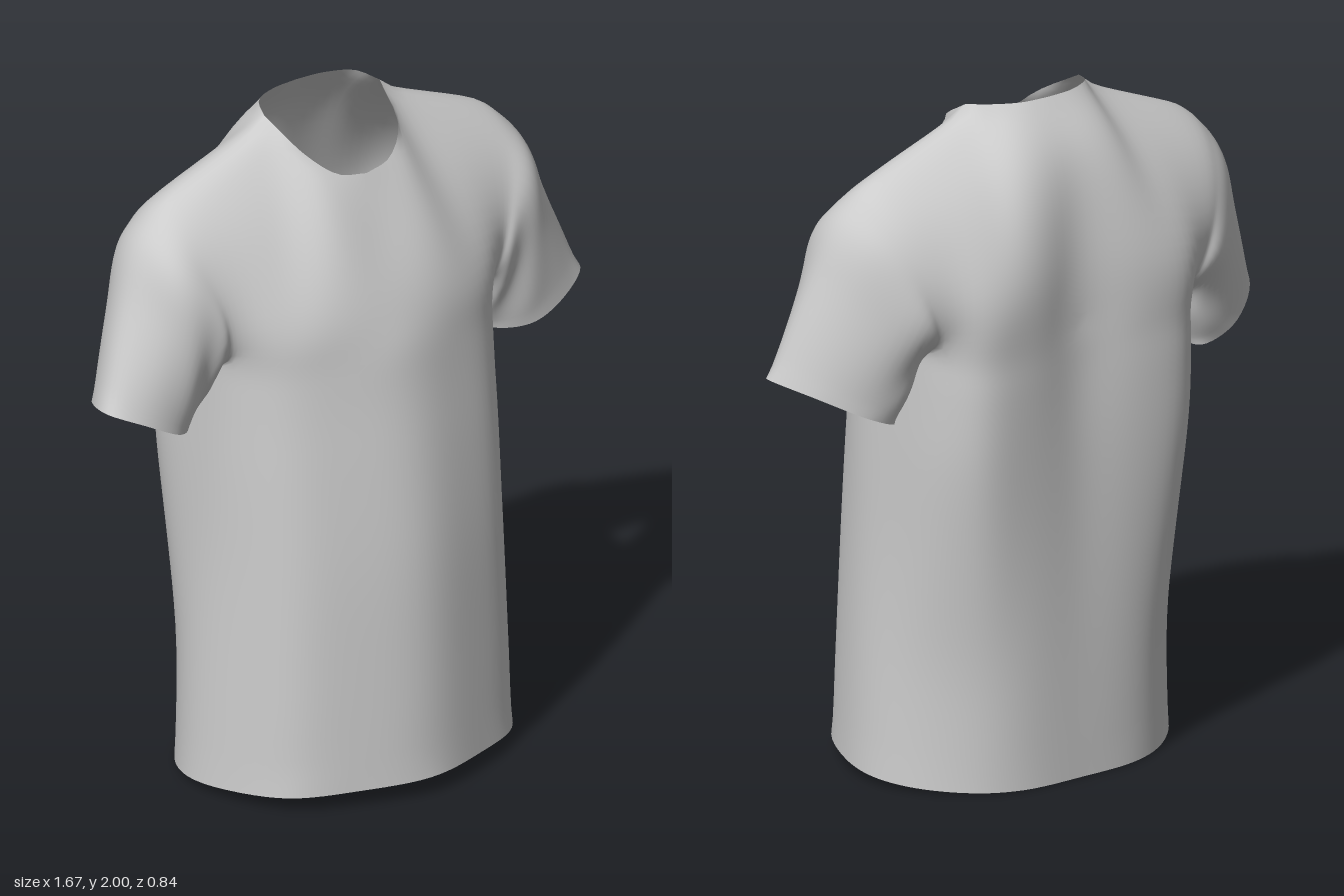
import * as THREE from 'three';
import { mergeGeometries, mergeVertices } from 'three/addons/utils/BufferGeometryUtils.js';

const SEG = 6; // samples between neighbouring control points
const V = (p) => new THREE.Vector3(...p);
const spline = (pts, closed = false) => new THREE.CatmullRomCurve3(pts, closed);
// uniform samples along a spline, so control points are hit exactly
const sample = (curve, n) => Array.from({ length: n + 1 }, (_, i) => curve.getPoint(i / n));

// Surface from rows of points
function grid(rows, flip, mirror) {
  const pos = [], index = [], n = rows[0].length;
  for (const row of rows) for (const p of row) pos.push(mirror ? -p.x : p.x, p.y, p.z);
  for (let i = 0; i < rows.length - 1; i++) for (let j = 0; j < n - 1; j++) {
    const a = i * n + j, b = a + 1, c = a + n, d = c + 1;
    if (flip !== mirror) index.push(a, c, b, b, c, d);
    else index.push(a, b, c, b, d, c);
  }
  const g = new THREE.BufferGeometry();
  g.setAttribute('position', new THREE.Float32BufferAttribute(pos, 3));
  g.setIndex(index);
  return g;
}

// Half cross-section of the body: front centre, round the side, to back centre.
// full: how far the back corners stand out; dip: hollow along the spine
function section({ y, w, zf, zb, full, dip, tilt = 0, under = 0 }) {
  const pts = [
    [0, zf], [0.42 * w, 0.87 * zf], [0.78 * w, 0.65 * zf], [0.97 * w, 0.085],
    [w, -0.06 - 0.03 * full], [(0.9 + 0.05 * full) * w, -0.19 - 0.1 * full],
    [(0.66 + 0.11 * full) * w, zb + 0.065 - 0.055 * full], [0.4 * w, zb + 0.01 * (1 - full)],
    [0, zb + dip],
  ].map(([x, z]) => new THREE.Vector3(x, y + tilt * (z + 0.37) / 0.79, z));
  pts[4].y -= under;
  return pts;
}
function halfRing(half) {
  const other = half.slice(1, -1).reverse().map((p) => new THREE.Vector3(-p.x, p.y, p.z));
  return sample(spline([...half, ...other], true), 16 * SEG).slice(0, 8 * SEG + 1);
}

// Patch between four edges; eased across so it leaves the body smoothly
function patch(bottom, top, centre, side) {
  const n = bottom.length - 1, m = centre.length - 1;
  const mix = (a, b, t) => a.clone().lerp(b, t);
  return centre.map((c, i) => bottom.map((b, j) => {
    const s = j / n, v = i / m, e = v * v * (3 - 2 * v);
    const corner = mix(mix(bottom[0], bottom[n], s), mix(top[0], top[n], s), e);
    return mix(c, side[i], s).add(mix(b, top[j], e)).sub(corner);
  }));
}

function halfParts() {
  // Body, hem to armpit
  const levels = [
    { y: 0, w: 0.505, zf: 0.417, zb: -0.375, full: 0, dip: 0, tilt: 0.057 },
    { y: 0.35, w: 0.49, zf: 0.407, zb: -0.385, full: 0.05, dip: 0.005, tilt: 0.04 },
    { y: 0.7, w: 0.477, zf: 0.392, zb: -0.397, full: 0.5, dip: 0.015, tilt: 0.02 },
    { y: 1.0, w: 0.472, zf: 0.36, zb: -0.406, full: 0.9, dip: 0.025 },
    { y: 1.2, w: 0.467, zf: 0.33, zb: -0.41, full: 1, dip: 0.035 },
    { y: 1.36, w: 0.464, zf: 0.308, zb: -0.411, full: 1, dip: 0.04, under: 0.06 },
  ].map(section);
  const rings = levels.map(halfRing);
  const columns = rings[0].map((_, k) => sample(spline(rings.map((r) => r[k])), 30));
  const body = columns[0].map((_, i) => columns.map((c) => c[i]));
  const chest = rings[5], ctrl = levels[5];

  // Sleeve loops: under, up the front, over the top, down the back
  const loops = [
    [ctrl[4], ctrl[3], V([0.487, 1.53, 0.11]), V([0.535, 1.735, 0.03]),
      V([0.563, 1.828, -0.1]), V([0.54, 1.735, -0.25]), V([0.487, 1.53, -0.335]), ctrl[5]],
    [[0.475, 1.27, -0.1], [0.485, 1.33, 0.06], [0.53, 1.5, 0.122], [0.628, 1.665, 0.055],
      [0.662, 1.72, -0.09], [0.628, 1.665, -0.23], [0.53, 1.48, -0.33], [0.485, 1.33, -0.28]].map(V),
    [[0.495, 1.2, -0.1], [0.51, 1.25, 0.03], [0.58, 1.36, 0.1], [0.67, 1.49, 0.068],
      [0.73, 1.55, -0.06], [0.69, 1.49, -0.2], [0.58, 1.34, -0.288], [0.51, 1.24, -0.245]].map(V),
    [[0.53, 1.14, -0.13], [0.55, 1.15, 0], [0.63, 1.175, 0.07], [0.75, 1.235, 0.065],
      [0.835, 1.27, 0], [0.785, 1.245, -0.14], [0.65, 1.175, -0.235], [0.55, 1.135, -0.22]].map(V),
  ].map((pts) => sample(spline(pts, true), 8 * SEG));
  const hole = loops[0];
  for (let k = 0; k <= SEG; k++) { // underarm shares the body's edge
    hole[k] = chest[4 * SEG - k];
    hole[8 * SEG - k] = chest[4 * SEG + k];
  }
  const lines = hole.map((_, k) => sample(spline(loops.map((l) => l[k])), 24));
  const sleeve = lines[0].map((_, i) => lines.map((l, k) => {
    const p = l[i].clone(), t = i / 24, a = k / (8 * SEG) * Math.PI * 2;
    // soft creases fanning out from the armpit
    const fade = Math.sin(Math.PI * t) * Math.sin(a) * Math.max(0, Math.cos(a) + 0.6);
    p.z += 0.014 * fade * Math.sin(a * 5 + t * 7);
    return p;
  }));

  // Upper front and back, meeting at the shoulder seam
  const shoulder = sample(spline([V([0.203, 1.988, -0.1]), V([0.29, 1.943, -0.1]),
    V([0.42, 1.888, -0.1]), hole[4 * SEG]]), 8).slice(1);
  const neckFront = sample(spline([[0, 1.832, 0.111], [0.09, 1.848, 0.096],
    [0.164, 1.908, 0.042], [0.203, 1.988, -0.1]].map(V)), 10);
  const neckBack = sample(spline([[0, 2, -0.222], [0.09, 2, -0.213],
    [0.17, 2, -0.172], [0.203, 1.988, -0.1]].map(V)), 10);
  const centreFront = sample(spline([ctrl[0], V([0, 1.5, 0.258]), V([0, 1.66, 0.185]),
    neckFront[0]]), 3 * SEG);
  const centreBack = sample(spline([ctrl[8], V([0, 1.6, -0.36]), V([0, 1.84, -0.32]),
    neckBack[0]]), 3 * SEG);
  const front = patch(chest.slice(0, 3 * SEG + 1), [...neckFront, ...shoulder],
    centreFront, hole.slice(SEG, 4 * SEG + 1));
  const back = patch(chest.slice(5 * SEG).reverse(), [...neckBack, ...shoulder],
    centreBack, hole.slice(4 * SEG, 7 * SEG + 1).reverse());

  return [['body', body, false], ['upperFront', front, false],
    ['upperBack', back, true], ['sleeve', sleeve, true]];
}

// Relax the cloth across its seams; open hems stay fixed
function relax(geometry, passes) {
  const pos = geometry.attributes.position, idx = geometry.index.array;
  const next = Array.from({ length: pos.count }, () => new Set());
  const prev = Array.from({ length: pos.count }, () => new Set());
  for (let i = 0; i < idx.length; i += 3) for (let k = 0; k < 3; k++) {
    const a = idx[i + k], b = idx[i + (k + 1) % 3];
    next[a].add(b);
    prev[b].add(a);
  }
  // inside the cloth every edge runs both ways
  const inner = next.map((s, i) => s.size === prev[i].size && [...s].every((v) => prev[i].has(v)));
  let pts = next.map((_, i) => new THREE.Vector3().fromBufferAttribute(pos, i));
  for (let pass = 0; pass < passes; pass++) {
    // a shrinking step, then a slightly weaker swelling one, keeps the volume
    for (const step of [0.6, -0.55]) {
      pts = pts.map((p, i) => {
        if (!inner[i]) return p;
        const mean = new THREE.Vector3();
        for (const v of next[i]) mean.add(pts[v]);
        return p.clone().lerp(mean.divideScalar(next[i].size), step);
      });
    }
  }
  pts.forEach((p, i) => pos.setXYZ(i, p.x, p.y, p.z));
}

export function createModel() {
  const group = new THREE.Group();
  group.name = 'shirt';
  const material = new THREE.MeshStandardMaterial({
    color: 0xcccccc, roughness: 0.9, side: THREE.DoubleSide,
  });
  const parts = [];
  for (const [name, rows, flip] of halfParts()) {
    for (const mirror of [false, true]) {
      parts.push([name + (mirror ? 'Right' : 'Left'), grid(rows, flip, mirror)]);
    }
  }
  // Weld everything for seamless normals, then cut back into named parts
  const welded = mergeVertices(mergeGeometries(parts.map(([, g]) => g)), 1e-4);
  relax(welded, 24);
  welded.computeVertexNormals();
  let start = 0;
  for (const [name, g] of parts) {
    const count = g.index.count;
    const piece = new THREE.BufferGeometry();
    piece.setAttribute('position', welded.attributes.position);
    piece.setAttribute('normal', welded.attributes.normal);
    piece.setIndex(Array.from(welded.index.array.slice(start, start + count)));
    start += count;
    const mesh = new THREE.Mesh(piece.toNonIndexed(), material);
    mesh.name = name;
    group.add(mesh);
  }
  return group;
}
